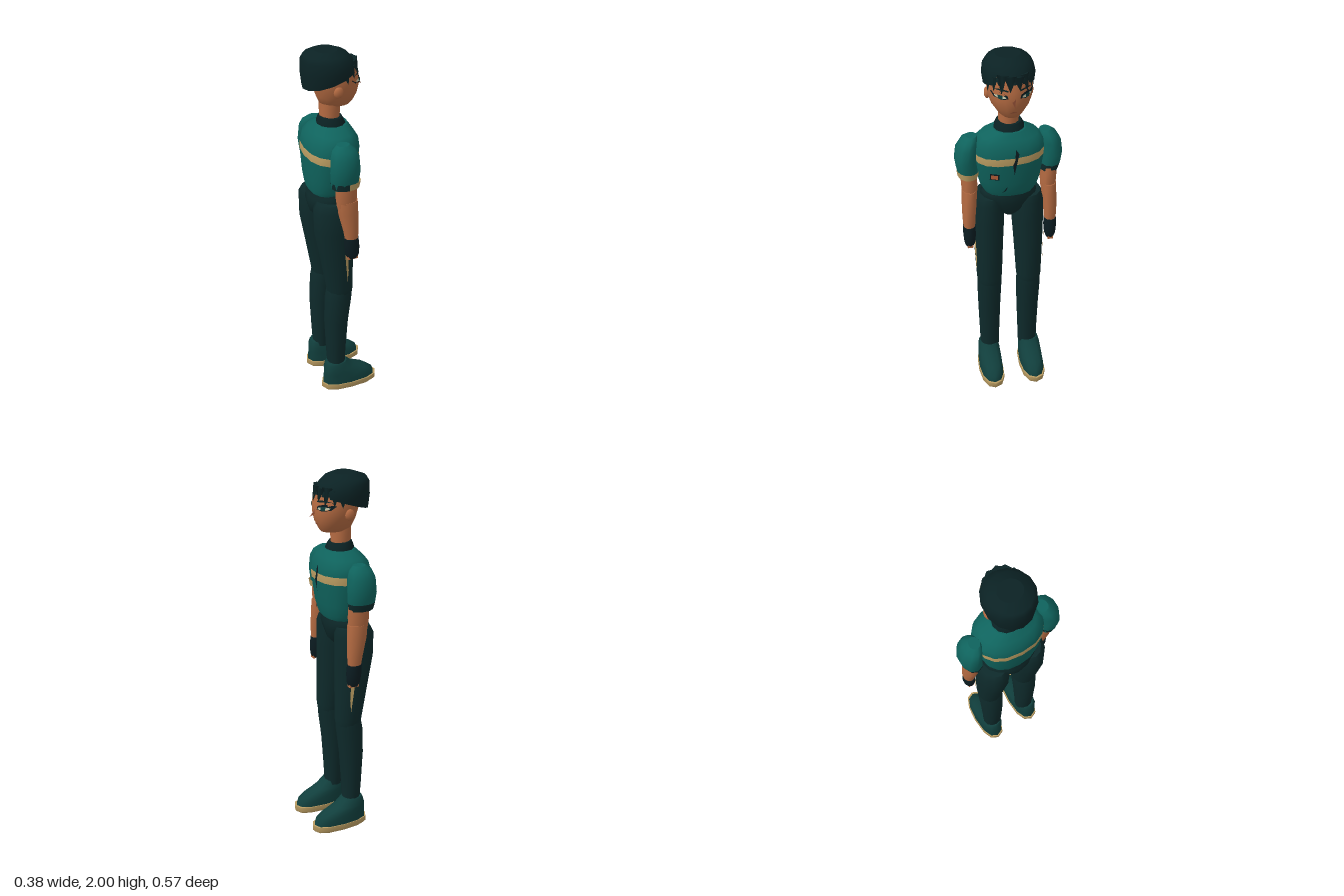
import * as THREE from 'three';

const mat = (name, color, side = THREE.FrontSide) => {
  const m = new THREE.MeshStandardMaterial({ color, side });
  m.name = name;
  return m;
};
const D = THREE.DoubleSide;

// Elliptical loft, bottom to top. Section: [y, cx, cz, rx, rz, band material, x tilt, z tilt]
function loft(secs, n = 12, e = 1) {
  const pos = [], idx = [];
  const pw = v => Math.sign(v) * Math.pow(Math.abs(v), e);
  const ring = ([y, cx, cz, rx, rz, , tx = 0, tz = 0]) => {
    for (let j = 0; j < n; j++) {
      const a = (j / n) * Math.PI * 2;
      const x = cx + rx * pw(Math.cos(a)), z = cz + rz * pw(Math.sin(a));
      pos.push(x, y + tx * x + tz * z, z);
    }
  };
  const geo = new THREE.BufferGeometry();
  secs.forEach(ring);
  for (let i = 0; i < secs.length - 1; i++) {
    const start = idx.length;
    for (let j = 0; j < n; j++) {
      const a = i * n + j, b = i * n + ((j + 1) % n);
      idx.push(a, a + n, b, b, a + n, b + n);
    }
    geo.addGroup(start, idx.length - start, secs[i][5] || 0);
  }
  // flat end caps with their own vertices
  [secs[0], secs[secs.length - 1]].forEach((s, top) => {
    const base = pos.length / 3, start = idx.length;
    ring(s);
    for (let j = 1; j < n - 1; j++) {
      if (top) idx.push(base, base + j + 1, base + j);
      else idx.push(base, base + j, base + j + 1);
    }
    geo.addGroup(start, idx.length - start, 0);
  });
  geo.setAttribute('position', new THREE.Float32BufferAttribute(pos, 3));
  geo.setIndex(idx);
  geo.computeVertexNormals();
  return geo;
}

// Thin painted face laid on a loft. Points are [z, y] on the front or [x, y] on a side.
function decal(secs, e, pts, off, side = 0) {
  const geo = new THREE.ShapeGeometry(new THREE.Shape(pts.map(p => new THREE.Vector2(side ? p[0] : -p[0], p[1]))));
  const p = geo.attributes.position;
  for (let i = 0; i < p.count; i++) {
    const y = p.getY(i), u = p.getX(i);
    let k = 0;
    while (k < secs.length - 2 && secs[k + 1][0] < y) k++;
    const t = (y - secs[k][0]) / (secs[k + 1][0] - secs[k][0]);
    const [cx, cz, rx, rz] = [1, 2, 3, 4].map(c => secs[k][c] + (secs[k + 1][c] - secs[k][c]) * t);
    const across = (d, r) => Math.pow(Math.max(0, 1 - Math.pow(Math.min(1, Math.abs(d) / r), 2 / e)), e / 2);
    if (side) p.setXYZ(i, u, y, cz + side * (rz * across(u - cx, rx) + off));
    else p.setXYZ(i, cx + rx * across(-u - cz, rz) + off, y, -u);
  }
  geo.computeVertexNormals();
  return geo;
}

export function createModel() {
  const teal = mat('jersey teal', 0x0f635d), tan = mat('trim tan', 0xbb9d62, D);
  const skin = mat('skin', 0xb56b42), cloth = mat('trouser dark', 0x0e2a2b);
  const shoe = mat('shoe green', 0x113f3d), hair = mat('hair dark', 0x0b2224, D);
  const glove = mat('glove dark', 0x0b1c21, D), white = mat('eye pale', 0xc9c9ab, D);
  const badge = mat('badge orange', 0xb8613a, D), brown = mat('nose brown', 0x8a4a32, D);

  const model = new THREE.Group();
  model.name = 'standingFigure';
  const add = (name, geo, material, parent = model) => {
    const m = new THREE.Mesh(geo, material);
    m.name = name;
    parent.add(m);
    return m;
  };

  // jersey with a slanted band all the way round
  const torso = [
    [1.235, -0.05, 0, 0.11, 0.135], [1.26, -0.048, 0, 0.118, 0.15], [1.32, -0.045, 0, 0.13, 0.167],
    [1.442, -0.042, 0, 0.142, 0.185, 1, 0, -0.05], [1.485, -0.04, 0, 0.143, 0.187, 0, 0, -0.05],
    [1.535, -0.038, 0, 0.133, 0.182], [1.57, -0.035, 0, 0.11, 0.15], [1.605, -0.03, 0, 0.08, 0.085],
  ];
  add('jersey', loft(torso, 16, 0.85), [teal, tan]);
  add('chestSlash', decal(torso, 0.85, [[-0.005, 1.385], [0.005, 1.45], [-0.005, 1.47], [-0.012, 1.535], [-0.028, 1.51], [-0.015, 1.45]], 0.006), glove);
  add('hemSlash', decal(torso, 0.85, [[0.06, 1.262], [0.035, 1.285], [0.03, 1.31], [0.045, 1.285]], 0.006), glove);
  add('badgeBorder', decal(torso, 0.85, [[0.12, 1.352], [0.072, 1.352], [0.072, 1.39], [0.12, 1.39]], 0.004), glove);
  add('badge', decal(torso, 0.85, [[0.114, 1.359], [0.08, 1.359], [0.08, 1.384], [0.114, 1.384]], 0.007), badge);

  // hips and waistband
  add('hips', loft([
    [1.075, -0.06, 0, 0.06, 0.035], [1.11, -0.06, 0, 0.095, 0.08], [1.17, -0.058, 0, 0.11, 0.135],
    [1.205, -0.052, 0, 0.112, 0.153], [1.225, -0.052, 0, 0.11, 0.142], [1.25, -0.05, 0, 0.112, 0.138],
  ], 16), cloth);

  // collar and neck
  add('collar', loft([
    [1.585, -0.03, 0, 0.08, 0.083, 0, -0.1], [1.61, -0.032, 0, 0.074, 0.08, 0, -0.1],
    [1.64, -0.035, 0, 0.06, 0.066, 0, -0.1],
  ]), hair);
  add('neck', loft([[1.6, -0.04, 0, 0.053, 0.053], [1.73, -0.04, 0, 0.055, 0.055]]), skin);

  // head
  const head = [
    [1.703, 0, 0, 0.07, 0.05], [1.72, -0.005, 0, 0.09, 0.068], [1.76, -0.005, 0, 0.108, 0.095],
    [1.81, -0.007, 0, 0.12, 0.113], [1.86, -0.015, 0, 0.125, 0.118], [1.93, -0.02, 0, 0.115, 0.11],
  ];
  add('head', loft(head, 16), skin);
  const nose = add('nose', new THREE.ConeGeometry(0.015, 0.05, 3), brown);
  nose.position.set(0.118, 1.805, 0);
  nose.rotation.z = -2.3;
  add('mouth', decal(head, 1, [[0.022, 1.748], [0, 1.744], [-0.022, 1.748], [0, 1.752]], 0.003), brown);

  // hair cap, lower at the nape
  add('hair', loft([
    [1.868, -0.04, 0, 0.143, 0.128, 0, 0.32], [1.915, -0.048, 0, 0.143, 0.136, 0, 0.15],
    [1.955, -0.058, 0, 0.13, 0.128], [1.98, -0.063, 0, 0.112, 0.107], [2.0, -0.06, 0, 0.06, 0.065],
  ], 14), hair);
  // fringe locks
  [-1.25, -0.95, -0.6, -0.25, 0.15, 0.5, 0.85, 1.2].forEach((a, i) => {
    const lock = add('fringeLock', new THREE.ConeGeometry(0.032, 0.07 + (i % 3) * 0.012, 4), hair);
    lock.position.set(-0.04 + 0.14 * Math.cos(a), 1.868 + 0.035 * Math.cos(a), 0.117 * Math.sin(a));
    lock.rotation.set(0, -a, Math.PI + 0.25, 'YXZ');
    lock.scale.x = 0.5;
  });

  for (const s of [1, -1]) {
    // face details
    const ear = add('ear', new THREE.SphereGeometry(0.03, 8, 6), skin);
    ear.position.set(-0.035, 1.805, s * 0.112);
    ear.scale.set(0.9, 1, 0.5);
    const face = (name, pts, off, m) => add(name, decal(head, 1, pts.map(p => [p[0] * s, p[1]]), off), m);
    face('eyeOutline', [[0.03, 1.832], [0.06, 1.825], [0.095, 1.833], [0.109, 1.855], [0.07, 1.862], [0.035, 1.85]], 0.004, glove);
    face('eyeWhite', [[0.04, 1.835], [0.06, 1.831], [0.09, 1.837], [0.095, 1.846], [0.07, 1.85], [0.042, 1.843]], 0.007, white);
    face('iris', [[0.06, 1.831], [0.078, 1.831], [0.08, 1.851], [0.058, 1.851]], 0.0095, shoe);
    face('eyebrow', [[0.03, 1.868], [0.07, 1.874], [0.1, 1.872], [0.07, 1.882], [0.03, 1.876]], 0.005, hair);

    // arm
    const arm = new THREE.Group();
    arm.name = s > 0 ? 'rightArm' : 'leftArm';
    model.add(arm);
    add('sleeve', loft([
      [1.33, -0.047, s * 0.216, 0.069, 0.051, 1], [1.37, -0.047, s * 0.221, 0.077, 0.057],
      [1.43, -0.047, s * 0.228, 0.083, 0.059], [1.5, -0.047, s * 0.22, 0.079, 0.058],
      [1.54, -0.047, s * 0.207, 0.064, 0.047], [1.562, -0.047, s * 0.195, 0.035, 0.03],
    ], 10), [teal, s > 0 ? teal : cloth], arm);
    if (s > 0) {
      // two-tone cuff: light in front, dark behind
      [[0, tan, 'cuffFront'], [Math.PI, cloth, 'cuffBack']].forEach(([start, m, name]) => {
        const cuff = add(name, new THREE.CylinderGeometry(0.081, 0.074, 0.037, 8, 1, true, start, Math.PI), m, arm);
        cuff.position.set(-0.042, 1.351, 0.218);
        cuff.scale.z = 0.74;
      });
    }
    add('upperArm', loft([
      [1.22, -0.033, s * 0.212, 0.054, 0.04], [1.28, -0.035, s * 0.213, 0.06, 0.043],
      [1.36, -0.035, s * 0.215, 0.06, 0.043],
    ], 10), skin, arm);
    add('forearm', loft([
      [1.0, -0.008, s * 0.222, 0.033, 0.03], [1.08, -0.012, s * 0.222, 0.044, 0.035],
      [1.18, -0.025, s * 0.217, 0.056, 0.04], [1.25, -0.03, s * 0.214, 0.058, 0.041],
    ], 10), skin, arm);
    add('glove', loft([
      [0.908, -0.004, s * 0.222, 0.026, 0.022], [0.93, -0.004, s * 0.222, 0.038, 0.03],
      [0.975, -0.006, s * 0.222, 0.043, 0.034], [1.03, -0.01, s * 0.222, 0.041, 0.034],
    ], 10), glove, arm);
    for (let i = 0; i < 3; i++) {
      const tip = add('fingertip', new THREE.BoxGeometry(0.015, 0.02, 0.03), skin, arm);
      tip.position.set(-0.024 + i * 0.02, 0.912, s * 0.222);
    }

    // leg
    const leg = new THREE.Group();
    leg.name = s > 0 ? 'rightLeg' : 'leftLeg';
    model.add(leg);
    const thigh = [
      [0.635, -0.03, s * 0.111, 0.07, 0.066], [0.67, -0.031, s * 0.111, 0.075, 0.071],
      [0.9, -0.051, s * 0.11, 0.096, 0.082], [1.03, -0.063, s * 0.108, 0.109, 0.088],
      [1.16, -0.065, s * 0.107, 0.11, 0.088], [1.2, -0.06, s * 0.105, 0.095, 0.07],
    ];
    add('thigh', loft(thigh), cloth, leg);
    add('thighStripe', decal(thigh, 1, [[-0.012, 0.73], [-0.006, 0.8], [-0.012, 0.96], [-0.036, 0.97], [-0.025, 0.85]], 0.004, s), tan, leg);
    add('shin', loft([
      [0.15, -0.05, s * 0.111, 0.05, 0.054], [0.25, -0.052, s * 0.111, 0.055, 0.057],
      [0.45, -0.05, s * 0.111, 0.068, 0.064], [0.6, -0.038, s * 0.111, 0.075, 0.069],
      [0.66, -0.031, s * 0.111, 0.071, 0.067],
    ]), cloth, leg);
    add('sole', loft([
      [0, 0.025, s * 0.12, 0.155, 0.06], [0.012, 0.025, s * 0.12, 0.165, 0.07], [0.04, 0.025, s * 0.12, 0.165, 0.07],
    ], 12, 0.82), tan, leg);
    add('shoeUpper', loft([
      [0.038, 0.023, s * 0.12, 0.156, 0.066], [0.07, 0.018, s * 0.12, 0.15, 0.066],
      [0.1, -0.002, s * 0.12, 0.127, 0.064], [0.13, -0.036, s * 0.12, 0.09, 0.062],
      [0.165, -0.05, s * 0.119, 0.066, 0.054], [0.175, -0.05, s * 0.118, 0.058, 0.05],
    ], 12, 0.85), shoe, leg);
  }
  return model;
}
